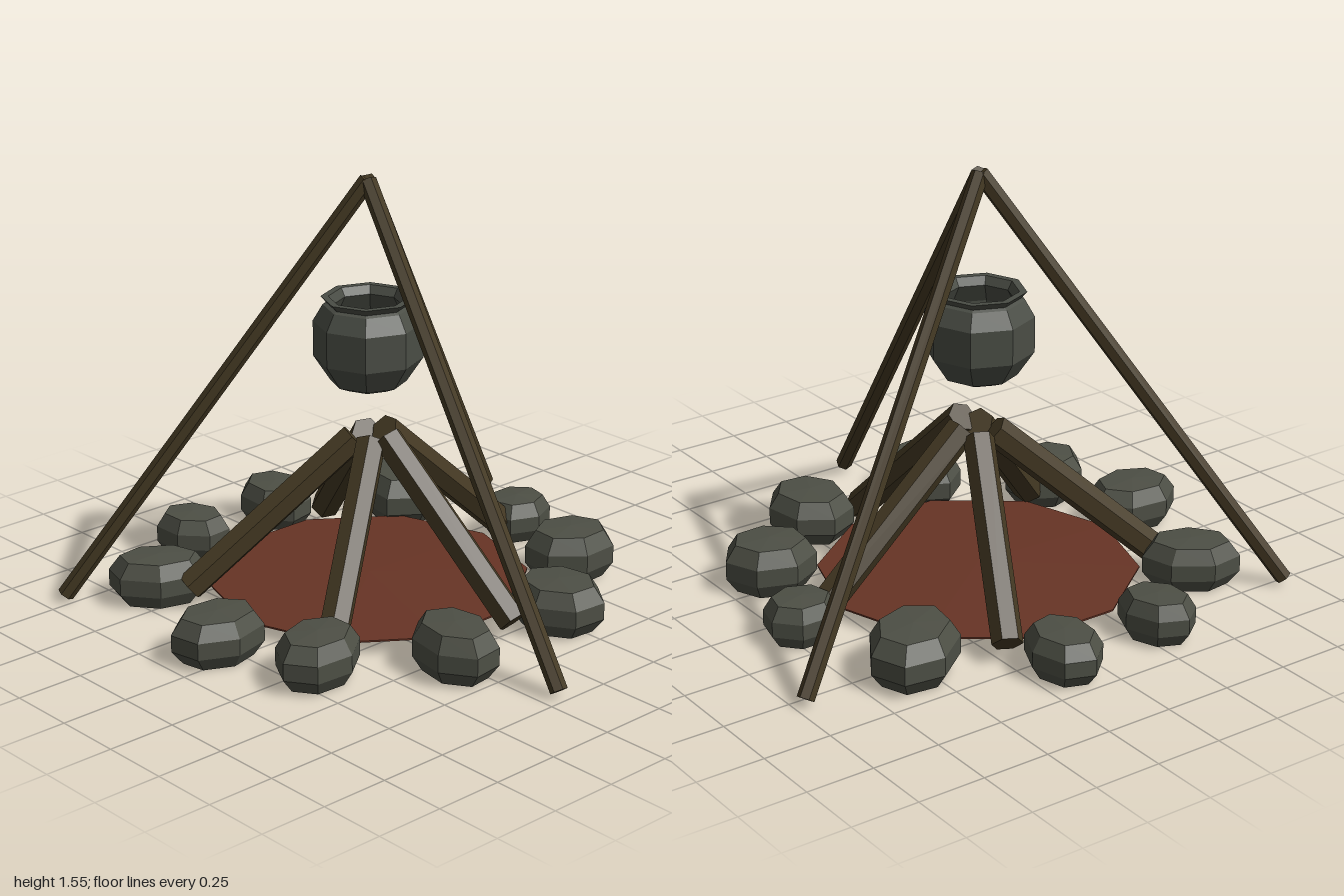
import * as THREE from 'three';

const material = (name, color, extra = {}) => {
  const m = new THREE.MeshStandardMaterial({ color, flatShading: true, ...extra });
  m.name = name;
  return m;
};

// Straight beam between two points
function beam(name, from, to, radius, mat) {
  const a = new THREE.Vector3(...from), b = new THREE.Vector3(...to);
  const dir = b.clone().sub(a);
  const mesh = new THREE.Mesh(new THREE.CylinderGeometry(radius, radius, dir.length(), 6), mat);
  mesh.position.copy(a).add(b).multiplyScalar(0.5);
  mesh.quaternion.setFromUnitVectors(new THREE.Vector3(0, 1, 0), dir.normalize());
  mesh.name = name;
  return mesh;
}

const lathe = (profile, sides) =>
  new THREE.LatheGeometry(profile.map(([r, y]) => new THREE.Vector2(r, y)), sides);

export function createModel() {
  const group = new THREE.Group();
  group.name = 'campfire';
  const stone = material('stone grey', 0x4d4f45);
  const iron = material('pot grey', 0x4a4d45, { side: THREE.DoubleSide });
  const wood = material('dark wood', 0x443923);
  const ember = material('ember red', 0x673425);
  const cx = -0.05, cz = -0.115;

  // Shallow ten-sided ember bed
  const bed = new THREE.Mesh(lathe([[0, 0.05], [0.58, 0.052], [0.58, 0.058], [0, 0.076]], 10), ember);
  bed.rotation.y = Math.PI / 10 * 5;
  bed.position.set(cx, 0, cz);
  bed.name = 'emberBed';
  group.add(bed);

  // Ring of stones: x, z, length radius, width radius, height, turn
  const rocks = [
    [-0.30, -0.82, 0.145, 0.115, 0.17, -1.2],
    [0.125, -0.845, 0.16, 0.125, 0.17, 1.5],
    [0.545, -0.565, 0.20, 0.155, 0.20, 0.65],
    [0.71, -0.12, 0.135, 0.12, 0.165, 0],
    [0.585, 0.28, 0.17, 0.145, 0.195, -0.35],
    [0.23, 0.565, 0.175, 0.15, 0.185, -1.4],
    [-0.295, 0.585, 0.185, 0.135, 0.19, 1.4],
    [-0.675, 0.315, 0.175, 0.135, 0.185, 0.3],
    [-0.81, -0.05, 0.175, 0.135, 0.18, -0.1],
    [-0.66, -0.57, 0.18, 0.125, 0.18, -0.6],
  ];
  const rockShape = lathe([[0, 0.03], [0.76, 0.03], [1, 0.32], [1, 0.66], [0.77, 0.96], [0, 1]], 7);
  rocks.forEach(([x, z, length, width, height, turn], i) => {
    const rock = new THREE.Mesh(rockShape, stone);
    rock.scale.set(length, height, width);
    rock.rotation.y = turn;
    rock.position.set(x, 0, z);
    rock.name = `stone${i + 1}`;
    group.add(rock);
  });

  // Logs leaning together over the embers
  const logs = [
    [[0.02, 0.61, -0.11], [0.62, 0.08, -0.115]],
    [[-0.04, 0.615, -0.03], [0.03, 0.07, 0.54]],
    [[-0.08, 0.595, -0.07], [-0.55, 0.09, 0.25]],
    [[-0.09, 0.595, -0.15], [-0.62, 0.08, -0.44]],
    [[-0.01, 0.59, -0.17], [0.245, 0.08, -0.69]],
  ];
  logs.forEach(([a, b], i) => group.add(beam(`log${i + 1}`, a, b, 0.056, wood)));

  // Tripod poles meeting above the pot
  const apex = [cx, 1.54, cz];
  [[-0.92, 0.03, -0.78], [0.96, 0.03, -0.54], [-0.185, 0.03, 0.97]].forEach((foot, i) =>
    group.add(beam(`tripodPole${i + 1}`, apex, foot, 0.031, wood)));

  // Eight-sided hollow pot with a flared rim
  const pot = new THREE.Mesh(lathe([
    [0, 0.785], [0.09, 0.79], [0.135, 0.81], [0.195, 0.90], [0.195, 1.03],
    [0.16, 1.09], [0.147, 1.097], [0.167, 1.12], [0.14, 1.12], [0.122, 1.09],
    [0.16, 1.02], [0.16, 0.91], [0.10, 0.83], [0, 0.825],
  ], 8), iron);
  pot.position.set(cx, 0, cz);
  pot.name = 'cookingPot';
  group.add(pot);

  return group;
}
